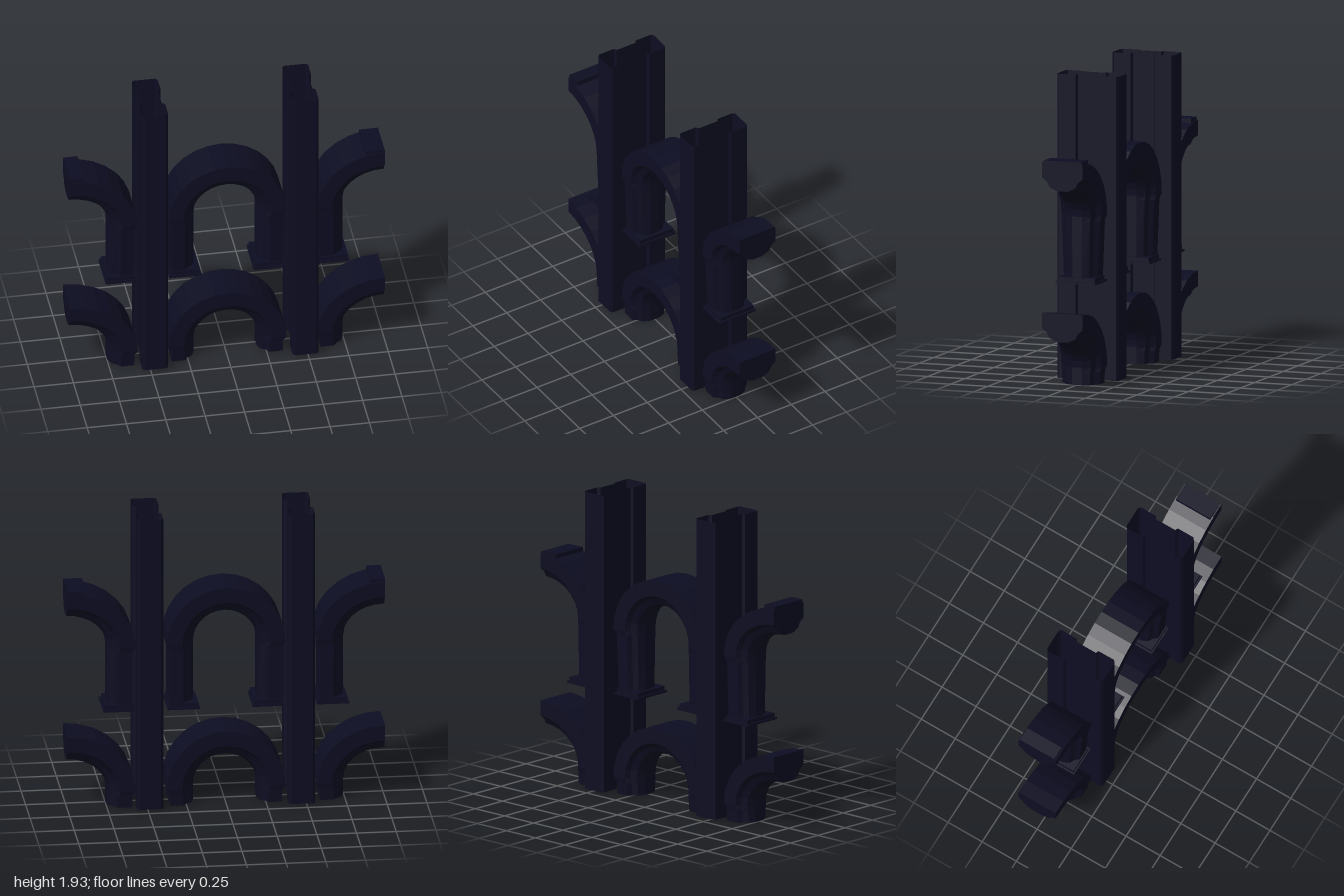
import * as THREE from 'three';

// Joins a list of closed rings (same point count) into a surface.
function loft(rings, capped) {
  const n = rings[0].length, pos = [], idx = [];
  rings.forEach(ring => ring.forEach(p => pos.push(...p)));
  for (let s = 0; s < rings.length - 1; s++) {
    for (let i = 0; i < n; i++) {
      const a = s * n + i, b = s * n + (i + 1) % n;
      idx.push(a, b, b + n, a, b + n, a + n);
    }
  }
  if (capped) {
    [0, rings.length - 1].forEach(s => {
      const c = pos.length / 3;
      const mid = [0, 1, 2].map(k => rings[s].reduce((t, p) => t + p[k], 0) / n);
      pos.push(...mid);
      for (let i = 0; i < n; i++) {
        const a = s * n + i, b = s * n + (i + 1) % n;
        if (s === 0) idx.push(c, b, a);
        else idx.push(c, a, b);
      }
    });
  }
  const g = new THREE.BufferGeometry();
  g.setAttribute('position', new THREE.Float32BufferAttribute(pos, 3));
  g.setIndex(idx);
  const flat = g.toNonIndexed();
  flat.computeVertexNormals();
  return flat;
}

// Moulded section: [fraction from inner to outer edge, z]
const half = [[1, 0.135], [0.45, 0.135], [0.33, 0.105], [0.12, 0.085], [0, 0.035]];
const section = [half[0], ...half.map(([r, z]) => [r, -z]), ...half.slice(1).reverse()];

function sectionRing(inner, outer, zScale) {
  return section.map(([r, z]) => [
    inner[0] + (outer[0] - inner[0]) * r,
    inner[1] + (outer[1] - inner[1]) * r,
    z * zScale,
  ]);
}

// Arch with a leg at each end that reaches the springing line.
function archGeometry({ cx, rIn, rOut, legOut, foot, spring, from, to }) {
  const rings = [];
  const leg = (side, y, zs) =>
    sectionRing([cx + side * rIn, y], [cx + side * legOut, y], zs);
  const zFoot = spring - foot > 0.2 ? 0.84 : 0.92;
  if (from === 0) rings.push(leg(1, foot, zFoot), leg(1, spring - 0.03, 0.95));
  const steps = Math.round((to - from) / (Math.PI / 14));
  for (let i = 0; i <= steps; i++) {
    const t = from + (to - from) * i / steps, c = Math.cos(t), s = Math.sin(t);
    rings.push(sectionRing(
      [cx + rIn * c, spring + 0.195 * s],
      [cx + rOut * c, spring + 0.375 * s], 1));
  }
  if (to === Math.PI) rings.push(leg(-1, spring - 0.03, 0.95), leg(-1, foot, zFoot));
  return loft(rings, true);
}

export function createModel() {
  const root = new THREE.Group();
  const navy = new THREE.MeshStandardMaterial({ color: 0x0d0d22, side: THREE.DoubleSide, flatShading: true });
  navy.name = 'dark navy';
  const add = (name, geo, x = 0, y = 0, z = 0) => {
    const m = new THREE.Mesh(geo, navy);
    m.name = name;
    m.position.set(x, y, z);
    root.add(m);
    return m;
  };

  // Tall open pillars with recessed sides
  const side = [[0.067, 0.205], [0.082, 0.192], [0.082, 0.08], [0.063, 0.07]];
  const right = [...side, ...side.map(([x, z]) => [x, -z]).reverse()];
  const outline = [...right, ...right.map(([x, z]) => [-x, -z])];
  const pillar = loft([0.01, 1.935].map(y => outline.map(([x, z]) => [x, y, z])), false);
  add('rightPillar', pillar, -0.47);
  add('leftPillar', pillar, 0.486);

  // Two tiers of arches: a full one in the middle, half ones at the ends
  const tiers = [
    { name: 'upper', foot: 0.65, spring: 1.065 },
    { name: 'lower', foot: 0, spring: 0.11 },
  ];
  for (const { name, foot, spring } of tiers) {
    const level = { foot, spring };
    add(name + 'MiddleArch', archGeometry({ ...level, cx: 0, rIn: 0.2, rOut: 0.376, legOut: 0.352, from: 0, to: Math.PI }));
    const end = { ...level, rIn: 0.253, rOut: 0.43, legOut: 0.408 };
    add(name + 'RightHalfArch', archGeometry({ ...end, cx: -1, from: 0, to: Math.PI / 2 }));
    add(name + 'LeftHalfArch', archGeometry({ ...end, cx: 1, from: Math.PI / 2, to: Math.PI }));
  }

  // Stepped bases under the upper legs
  for (const x of [-0.672, -0.268, 0.268, 0.672]) {
    add('baseSlab', new THREE.BoxGeometry(0.204, 0.014, 0.265), x, 0.647);
    add('baseStep', new THREE.BoxGeometry(0.18, 0.026, 0.245), x, 0.667);
  }

  // Raised keystones on the upper half arches
  add('rightKeystone', new THREE.BoxGeometry(0.09, 0.08, 0.25), -0.955, 1.42);
  add('leftKeystone', new THREE.BoxGeometry(0.12, 0.07, 0.25), 0.94, 1.415);
  return root;
}
